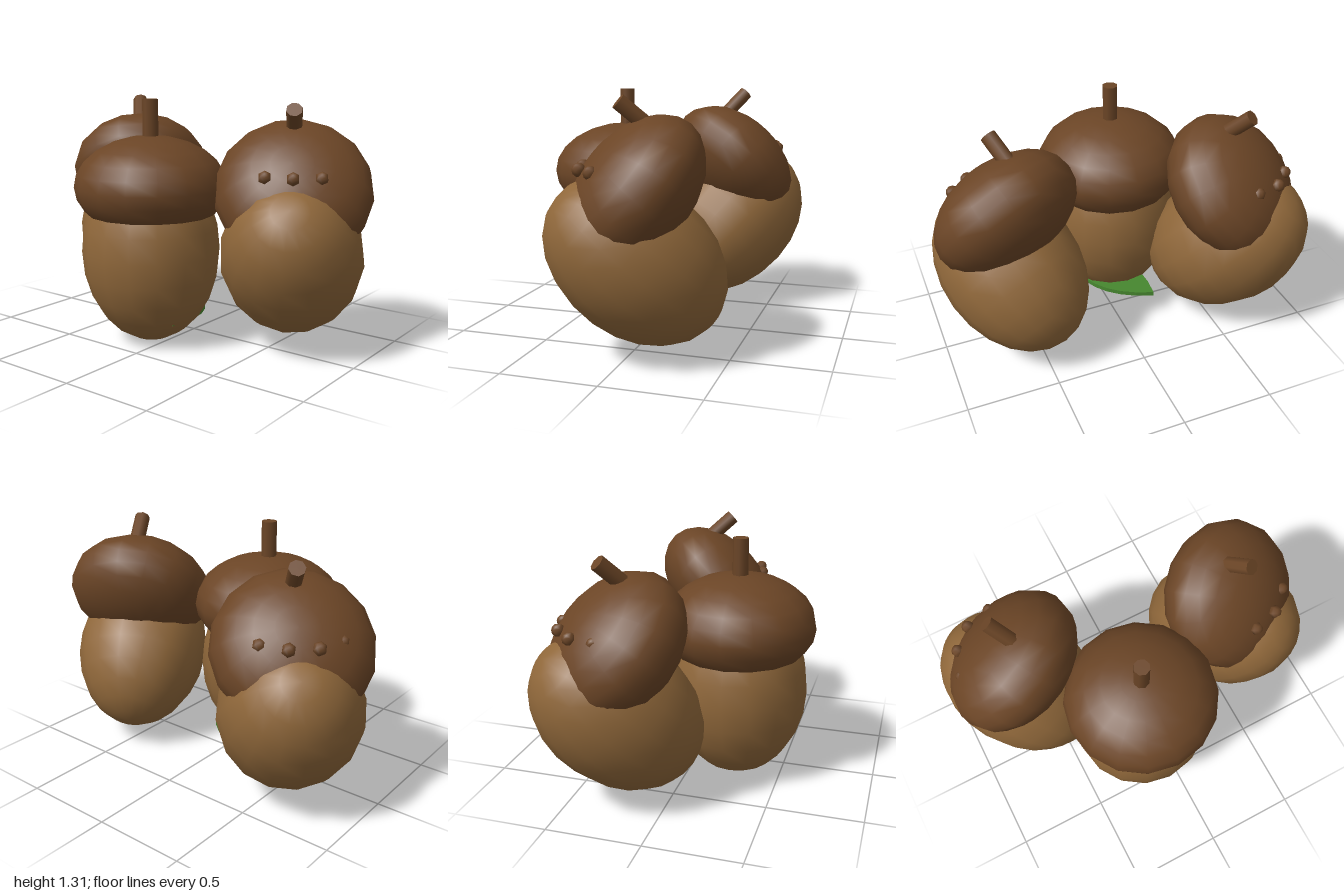
import * as THREE from 'three';

const mat = (name, color) => {
  const m = new THREE.MeshStandardMaterial({ color });
  m.name = name;
  return m;
};

export function createModel() {
  const nutBrown = mat('nutBrown', 0x8f673a);
  const capBrown = mat('capBrown', 0x6b4526);
  const leafGreen = mat('leafGreen', 0x47872f);

  // Shared shapes, sized in their own local frame
  const nutGeo = new THREE.SphereGeometry(1, 16, 12).scale(0.375, 0.5, 0.375);
  const capGeo = new THREE.SphereGeometry(1, 16, 12).scale(0.41, 0.27, 0.41);
  const stemGeo = new THREE.CylinderGeometry(0.042, 0.042, 0.22, 8);
  const bumpGeo = new THREE.SphereGeometry(0.035, 6, 5);

  const model = new THREE.Group();
  model.name = 'acornCluster';
  const up = new THREE.Vector3(0, 1, 0);

  // Nut, cap and stem each lean about their own centre
  function acorn(name, x, z, lean) {
    const g = new THREE.Group();
    g.name = name;
    g.position.set(x, 0, z);
    const tilt = new THREE.Quaternion().setFromUnitVectors(up, new THREE.Vector3(...lean).normalize());
    const parts = [
      ['nut', nutGeo, nutBrown, 0.5],
      ['cap', capGeo, capBrown, 0.85],
      ['stem', stemGeo, capBrown, 1.2],
    ];
    for (const [part, geo, material, y] of parts) {
      const mesh = new THREE.Mesh(geo, material);
      mesh.name = part;
      mesh.position.y = y;
      mesh.quaternion.copy(tilt);
      g.add(mesh);
    }
    // Ring of small bumps around the cap
    for (let i = 0; i < 12; i++) {
      const a = (i / 12) * Math.PI * 2;
      const bump = new THREE.Mesh(bumpGeo, capBrown);
      bump.name = 'capBump';
      bump.position.set(Math.cos(a) * 0.275, 0.95, Math.sin(a) * 0.275);
      bump.quaternion.copy(tilt);
      g.add(bump);
    }
    model.add(g);
  }

  acorn('middleAcorn', -0.1, 0.25, [0, 1, 0]);
  acorn('leftAcorn', 0.6, -0.05, [0.37, 0.64, 0.68]);
  acorn('rightAcorn', -0.605, -0.25, [-0.48, 0.68, -0.56]);

  // Flat leaf tucked under the acorns
  const outline = new THREE.Shape();
  outline.moveTo(0, -0.32);
  outline.quadraticCurveTo(0.28, 0, 0, 0.32);
  outline.quadraticCurveTo(-0.28, 0, 0, -0.32);
  const leafGeo = new THREE.ExtrudeGeometry(outline, { depth: 0.025, bevelEnabled: false, curveSegments: 8 });
  leafGeo.translate(0, 0, -0.0125).rotateX(Math.PI / 2).rotateY(0.55);
  const leaf = new THREE.Mesh(leafGeo, leafGreen);
  leaf.name = 'leaf';
  leaf.position.set(-0.03, 0.152, 0.09);
  model.add(leaf);

  return model;
}
